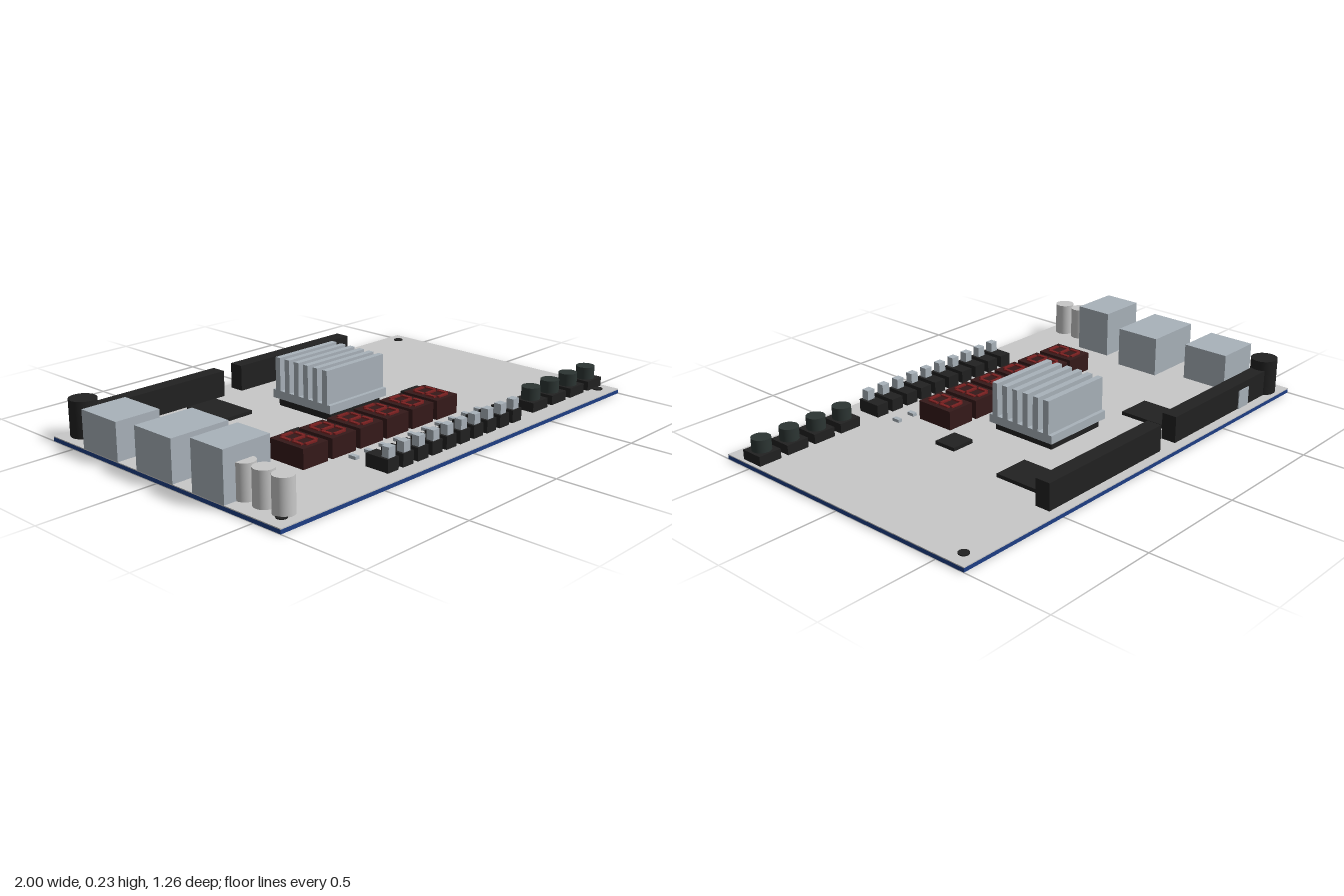
import * as THREE from 'three';

const mat = (name, color) => {
  const m = new THREE.MeshStandardMaterial({ color });
  m.name = name;
  return m;
};

export function createModel() {
  const blue = mat('board blue', 0x1e3f86);
  const pale = mat('pale grey', 0xc8c8c8);
  const metal = mat('metal grey', 0xa9b2ba);
  const black = mat('black plastic', 0x212121);
  const cap = mat('button grey', 0x2c3533);
  const maroon = mat('display maroon', 0x351a1a);
  const red = mat('segment red', 0x7a2020);

  const root = new THREE.Group();
  root.name = 'circuitBoard';
  const TOP = 0.02;

  // Box given by its extents on each axis
  const box = (name, m, x0, x1, y0, y1, z0, z1, parent = root) => {
    const mesh = new THREE.Mesh(new THREE.BoxGeometry(x1 - x0, y1 - y0, z1 - z0), m);
    mesh.position.set((x0 + x1) / 2, (y0 + y1) / 2, (z0 + z1) / 2);
    mesh.name = name;
    parent.add(mesh);
    return mesh;
  };
  // Upright cylinder
  const post = (name, m, x, z, r, y0, y1, parent = root) => {
    const mesh = new THREE.Mesh(new THREE.CylinderGeometry(r, r, y1 - y0, 32), m);
    mesh.position.set(x, (y0 + y1) / 2, z);
    mesh.name = name;
    parent.add(mesh);
    return mesh;
  };
  const group = (name, x = 0, z = 0) => {
    const g = new THREE.Group();
    g.name = name;
    g.position.set(x, 0, z);
    root.add(g);
    return g;
  };

  // Board with its pale upper face
  box('board', blue, -1, 1, 0, 0.016, -0.63, 0.63);
  box('boardTopFace', pale, -1, 1, 0.016, TOP, -0.63, 0.63);
  for (const x of [-0.935, 0.935])
    for (const z of [-0.567, 0.567]) post('mountingHole', black, x, z, 0.021, TOP, 0.024);

  // Pin headers along the back, power barrel and small socket
  box('leftPinHeader', black, -0.87, -0.222, TOP, 0.13, -0.59, -0.525);
  box('rightPinHeader', black, -0.125, 0.53, TOP, 0.13, -0.59, -0.525);
  post('powerBarrel', black, -0.907, -0.557, 0.056, TOP, 0.17);
  box('smallSocket', metal, -0.738, -0.667, TOP, 0.1, -0.594, -0.521);

  // Metal connectors on the side edge
  box('backConnector', metal, -1, -0.8, TOP, 0.175, -0.433, -0.225);
  box('middleConnector', metal, -1, -0.735, TOP, 0.19, -0.115, 0.087);
  box('frontConnector', metal, -1, -0.785, TOP, 0.22, 0.193, 0.358);
  for (const z of [0.36, 0.453, 0.547]) post('audioJack', pale, -0.905, z, 0.041, TOP, 0.16);

  // Flat chips
  box('memoryChip', black, -0.452, -0.3, TOP, 0.035, -0.493, -0.27);
  box('memoryChip', black, 0.302, 0.457, TOP, 0.035, -0.493, -0.27);
  box('smallChip', black, -0.387, -0.313, TOP, 0.035, 0.01, 0.086);
  box('smallChip', black, 0.303, 0.408, TOP, 0.035, 0, 0.1);

  // Processor and finned heat sink
  box('processor', black, -0.145, 0.145, TOP, 0.055, -0.27, 0.022);
  const sink = group('heatSink');
  box('heatSinkBase', metal, -0.163, 0.167, 0.055, 0.09, -0.288, 0.038, sink);
  for (let i = 0; i < 6; i++) {
    const z = 0.007 - i * 0.053;
    box('heatSinkFin', metal, -0.163, 0.167, 0.09, 0.23, z - 0.013, z + 0.013, sink);
  }

  // Numeric displays with raised segments
  for (let i = 0; i < 6; i++) {
    const d = group('numericDisplay', -0.53 + i * 0.1492, 0.235);
    box('displayBody', maroon, -0.063, 0.063, TOP, 0.1, -0.087, 0.087, d);
    for (const z of [-0.062, 0, 0.062])
      box('segment', red, -0.028, 0.028, 0.1, 0.106, z - 0.007, z + 0.007, d);
    for (const x of [-0.036, 0.036])
      for (const z of [-0.031, 0.031])
        box('segment', red, x - 0.007, x + 0.007, 0.1, 0.106, z - 0.024, z + 0.024, d);
  }

  // Row of indicator lamps and slide switches
  for (let i = 0; i < 10; i++) {
    const x = -0.383 + i * 0.0822;
    box('indicatorLamp', metal, x - 0.01, x + 0.01, TOP, 0.033, 0.355, 0.39);
    const s = group('slideSwitch', x, 0.51);
    box('switchBody', black, -0.029, 0.029, TOP, 0.072, -0.053, 0.055, s);
    box('switchLever', metal, -0.018, 0.018, 0.072, 0.114, 0.015, 0.048, s);
  }

  // Push buttons
  for (let i = 0; i < 4; i++) {
    const b = group('pushButton', 0.538 + i * 0.1325, 0.5);
    box('buttonBase', black, -0.05, 0.05, TOP, 0.06, -0.05, 0.05, b);
    post('buttonCap', cap, 0, 0, 0.039, 0.06, 0.112, b);
  }
  return root;
}
